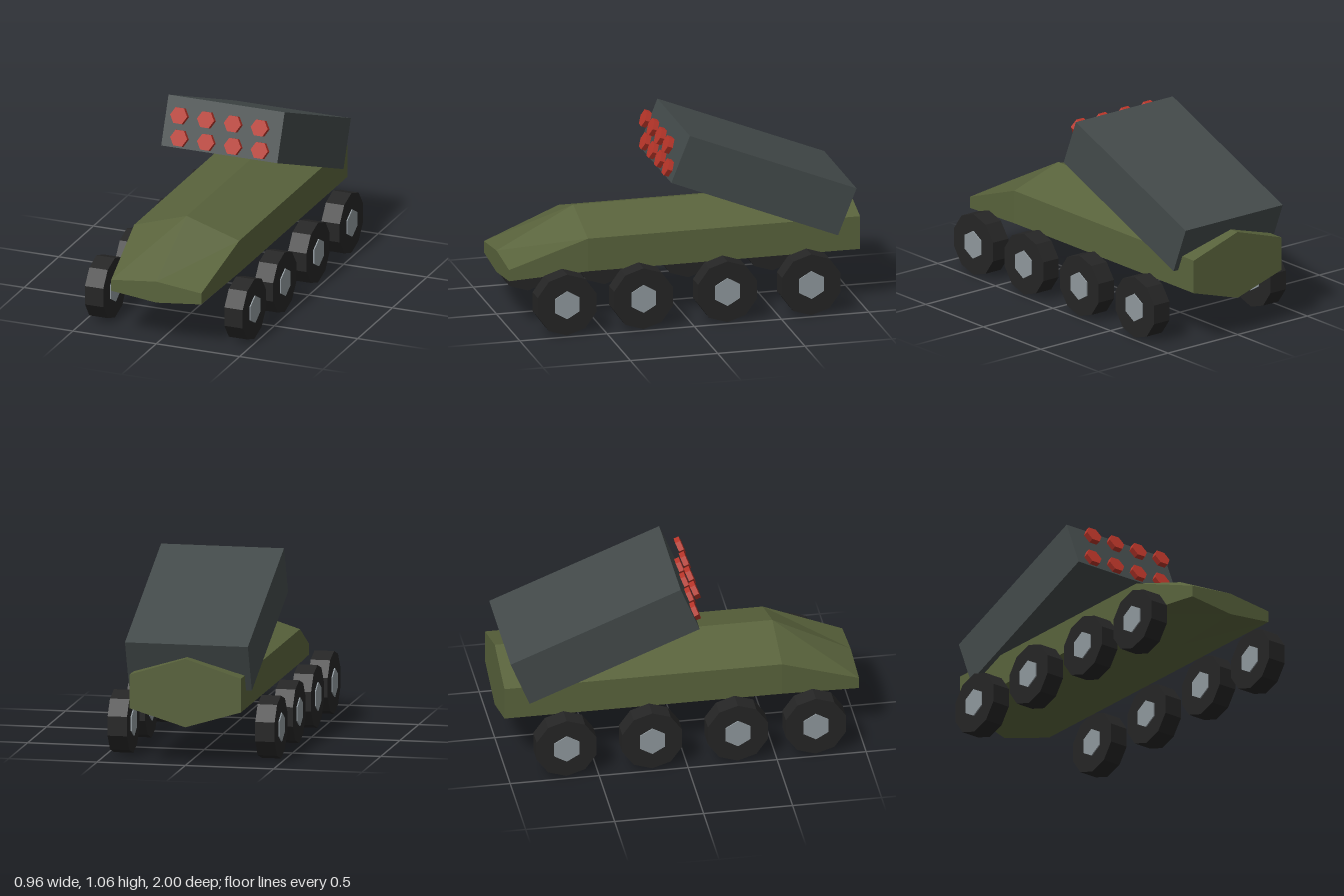
import * as THREE from 'three';

const mat = (name, color) => {
  const m = new THREE.MeshStandardMaterial({ color });
  m.name = name;
  return m;
};

// Flat facets through split normals
const facet = (geo) => {
  const g = geo.index ? geo.toNonIndexed() : geo;
  g.computeVertexNormals();
  return g;
};

// Prism along y with a corner pointing to +x
const prism = (r, h, sides) =>
  new THREE.CylinderGeometry(r, r, h, sides, 1, false, Math.PI / 2);

// Hexagonal hull section: ridge, shoulder, lower edge, keel
const section = (z, w, ridge, shoulder, lower, keel) => [
  [0, ridge, z], [-w, shoulder, z], [-w, lower, z],
  [0, keel, z], [w, lower, z], [w, shoulder, z],
];

function loft(sections) {
  const n = sections[0].length;
  const pos = [];
  const tri = (...corners) => corners.forEach((c) => pos.push(...c));
  for (let s = 0; s < sections.length - 1; s++) {
    const back = sections[s], front = sections[s + 1];
    for (let i = 0; i < n; i++) {
      const j = (i + 1) % n;
      tri(back[i], back[j], front[j]);
      tri(back[i], front[j], front[i]);
    }
  }
  const first = sections[0], last = sections[sections.length - 1];
  for (let i = 1; i < n - 1; i++) {
    tri(first[0], first[i + 1], first[i]);
    tri(last[0], last[i], last[i + 1]);
  }
  const g = new THREE.BufferGeometry();
  g.setAttribute('position', new THREE.Float32BufferAttribute(pos, 3));
  return facet(g);
}

export function createModel() {
  const olive = mat('hull olive', 0x59633c);
  const slate = mat('launcher slate', 0x434a4a);
  const rubber = mat('tyre black', 0x252525);
  const steel = mat('hub grey', 0x8f989d);
  const red = mat('warhead red', 0xb83529);

  const model = new THREE.Group();
  model.name = 'rocketTruck';
  const add = (parent, name, geo, material, x, y, z) => {
    const mesh = new THREE.Mesh(geo, material);
    mesh.name = name;
    mesh.position.set(x, y, z);
    parent.add(mesh);
    return mesh;
  };

  // Hull with a tapering nose
  add(model, 'hull', loft([
    section(-1, 0.315, 0.6, 0.5, 0.31, 0.215),
    section(0.56, 0.315, 0.6, 0.5, 0.31, 0.215),
    section(1, 0.27, 0.37, 0.34, 0.275, 0.245),
  ]), olive, 0, 0, 0);

  // Raised launcher box
  const tilt = -0.383;
  add(model, 'launcherBox', new THREE.BoxGeometry(0.696, 0.285, 1.03),
    slate, 0, 0.735, -0.44).rotation.x = tilt;

  // Two rows of four warheads standing ahead of the box
  const headGeo = facet(prism(0.051, 0.03, 6).rotateX(Math.PI / 2));
  for (const y of [0.985, 0.851]) {
    for (let i = 0; i < 4; i++) {
      add(model, 'warhead', headGeo, red, (i - 1.5) * 0.161, y, 0.082).rotation.x = tilt;
    }
  }

  // Four wheels a side, the hubs showing on both faces
  const tyreGeo = facet(prism(0.177, 0.11, 10).rotateZ(Math.PI / 2));
  const hubGeo = facet(prism(0.081, 0.123, 6).rotateZ(Math.PI / 2));
  for (const side of [-1, 1]) {
    for (const z of [0.722, 0.284, -0.197, -0.678]) {
      const wheel = new THREE.Group();
      wheel.name = side > 0 ? 'leftWheel' : 'rightWheel';
      wheel.position.set(side * 0.418, 0.177, z);
      add(wheel, 'tyre', tyreGeo, rubber, 0, 0, 0);
      add(wheel, 'hub', hubGeo, steel, 0, 0, 0);
      model.add(wheel);
    }
  }
  return model;
}
